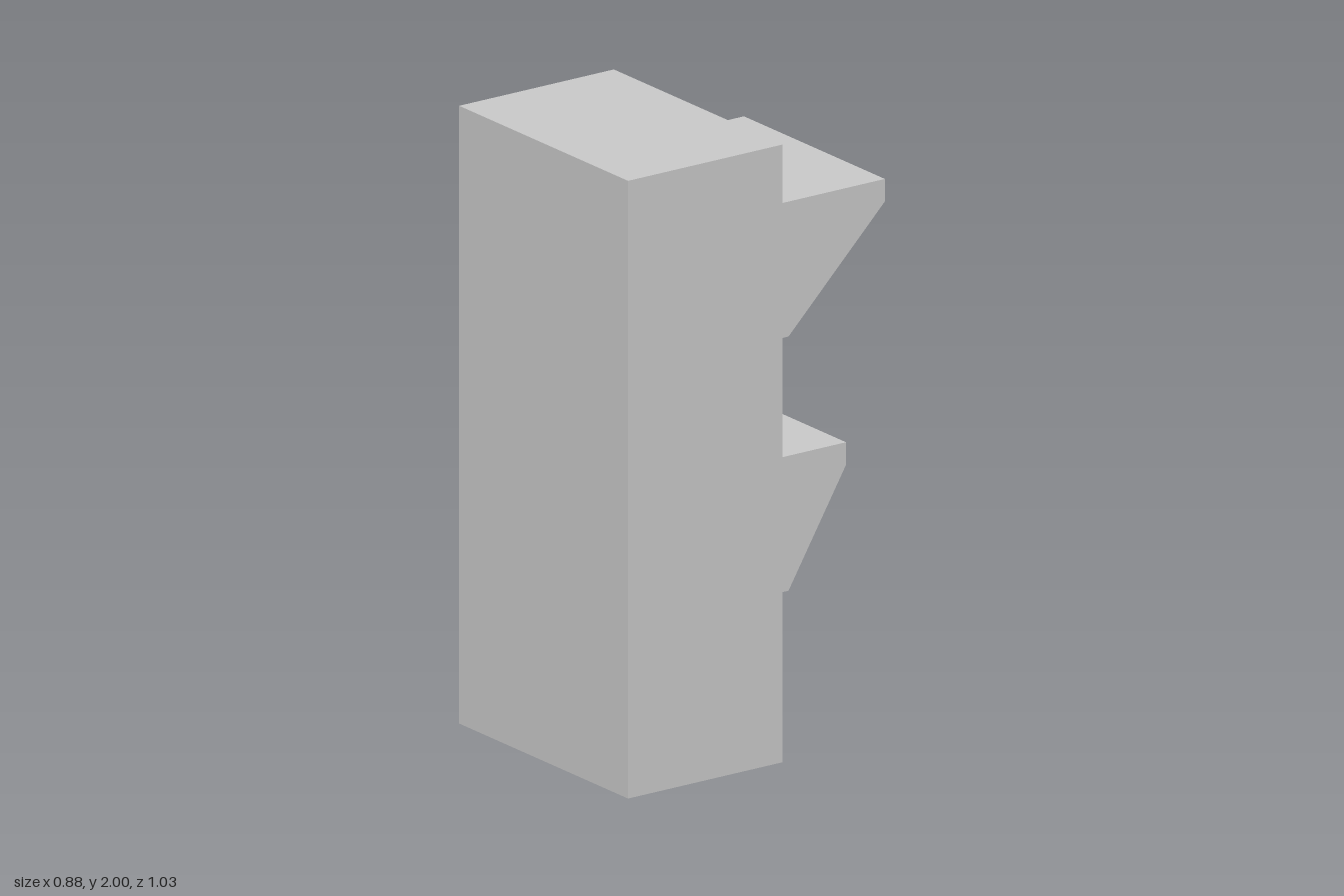
import * as THREE from 'three';

const material = new THREE.MeshStandardMaterial({ color: 0xcccccc, flatShading: true });

const BACK = -0.073;       // z of the face that carries the lamps
const HALF_WIDTH = 0.367;  // half width of a hood
const WALL = 0.073;        // hood thickness

function addMesh(parent, name, geometry, x = 0, y = 0, z = 0) {
  const mesh = new THREE.Mesh(geometry, material);
  mesh.name = name;
  mesh.position.set(x, y, z);
  parent.add(mesh);
  return mesh;
}

// Tapered side wall of a hood, drawn as (depth, height) from its top back corner
function cheekGeometry(depth) {
  const shape = new THREE.Shape([
    new THREE.Vector2(0, -WALL),
    new THREE.Vector2(0, -0.437),
    new THREE.Vector2(0.075, -0.437),
    new THREE.Vector2(depth, -WALL),
  ]);
  const geometry = new THREE.ExtrudeGeometry(shape, { depth: WALL, bevelEnabled: false });
  geometry.translate(0, 0, -WALL / 2);
  geometry.rotateY(Math.PI / 2); // depth now runs towards -z
  return geometry;
}

// One lamp: a faceted dome lens below a three-sided hood
function createLamp(name, top, depth) {
  const lamp = new THREE.Group();
  lamp.name = name;
  lamp.position.set(0, top, BACK);

  addMesh(lamp, 'lens', new THREE.SphereGeometry(0.287, 16, 8), 0, -0.372, 0.157);
  addMesh(lamp, 'hoodTop', new THREE.BoxGeometry(HALF_WIDTH * 2, WALL, depth), 0, -WALL / 2, -depth / 2);
  for (const [side, sign] of [['Left', 1], ['Right', -1]]) {
    addMesh(lamp, 'hood' + side, cheekGeometry(depth), sign * (HALF_WIDTH - WALL / 2));
  }
  return lamp;
}

export function createModel() {
  const model = new THREE.Group();
  model.name = 'signalLight';

  // Plain upright housing
  addMesh(model, 'housing', new THREE.BoxGeometry(0.88, 2, 0.586), 0, 1, BACK + 0.293);

  // The upper hood reaches further out than the lower one
  model.add(createLamp('upperLamp', 1.78, 0.44));
  model.add(createLamp('lowerLamp', 0.957, 0.293));
  return model;
}
